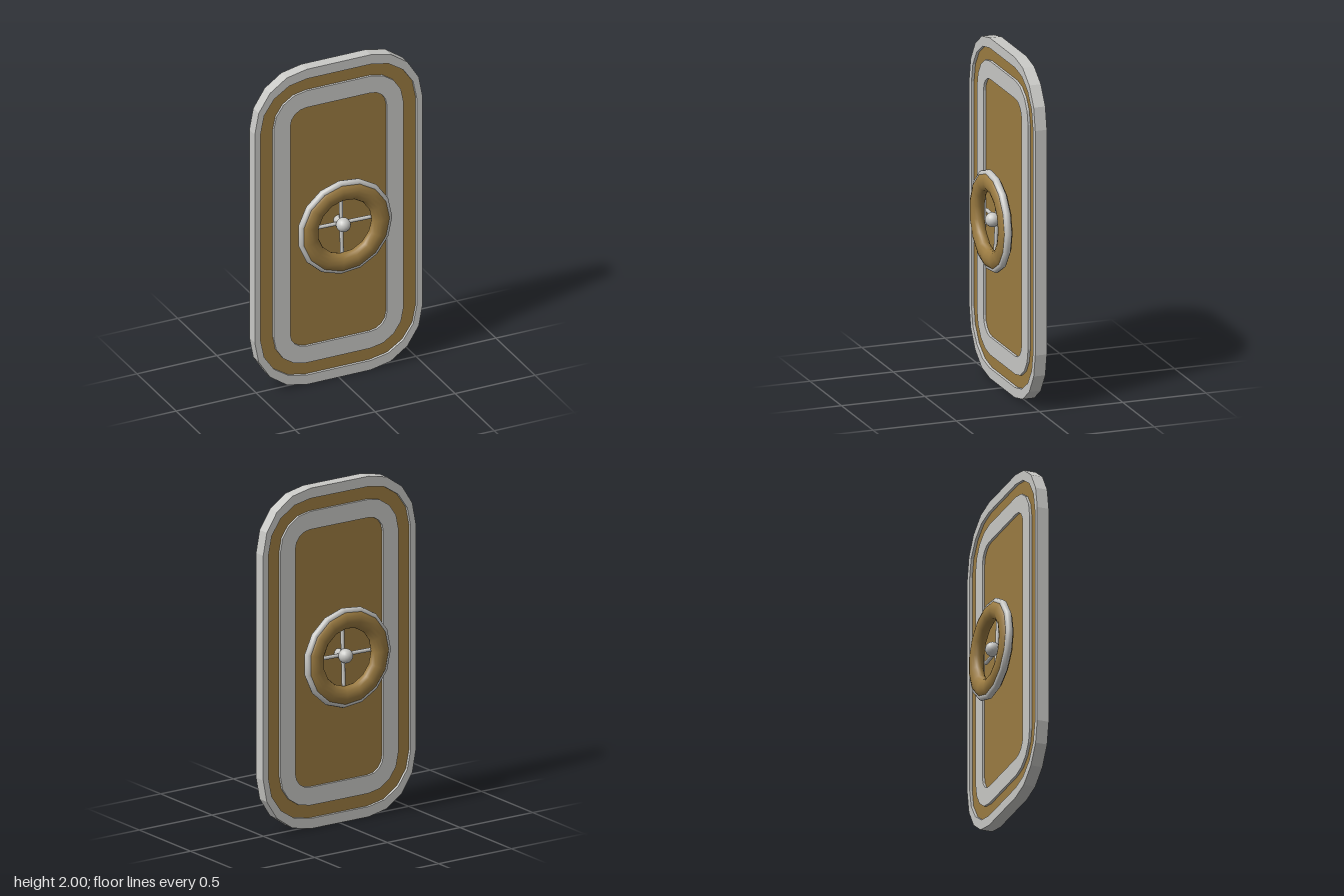
import * as THREE from 'three';

export function createModel() {
  const steel = new THREE.MeshStandardMaterial({ color: 0xc9c9c6 });
  steel.name = 'pale steel';
  const bronze = new THREE.MeshStandardMaterial({ color: 0x9c7c42 });
  bronze.name = 'bronze';

  const model = new THREE.Group();
  model.name = 'hatchDoor';

  function add(parent, name, geometry, material, x = 0, y = 0, z = 0) {
    const mesh = new THREE.Mesh(geometry, material);
    mesh.name = name;
    mesh.position.set(x, y, z);
    parent.add(mesh);
    return mesh;
  }

  // Rounded outline; every outline shares the same four corner centres
  function outline(halfW, halfH) {
    const cx = 0.2, cy = 0.66, steps = 4, points = [];
    for (let q = 0; q < 4; q++) {
      const sx = q === 0 || q === 3 ? 1 : -1;
      const sy = q < 2 ? 1 : -1;
      for (let i = 0; i <= steps; i++) {
        const a = (q + i / steps) * Math.PI / 2;
        points.push(new THREE.Vector2(
          sx * cx + (halfW - cx) * Math.cos(a),
          sy * cy + (halfH - cy) * Math.sin(a)));
      }
    }
    return points;
  }

  function slab(outer, inner, halfDepth) {
    const shape = new THREE.Shape(outline(...outer));
    if (inner) shape.holes.push(new THREE.Path(outline(...inner)));
    return new THREE.ExtrudeGeometry(shape, { depth: 2 * halfDepth, bevelEnabled: false })
      .translate(0, 1, -halfDepth);
  }

  // Door leaf: outer frame, recessed panel and raised inner border
  add(model, 'outerFrame', slab([0.525, 1.0], [0.488, 0.94], 0.035), steel);
  add(model, 'recessedPanel', slab([0.489, 0.941], null, 0.019), bronze);
  add(model, 'innerBorder', slab([0.405, 0.863], [0.302, 0.757], 0.033), steel);

  // Rod between two points
  function rod(parent, name, from, to, radius) {
    const dir = to.clone().sub(from);
    const mesh = add(parent, name, new THREE.CylinderGeometry(radius, radius, dir.length(), 12), steel);
    mesh.position.copy(from).add(to).multiplyScalar(0.5);
    mesh.quaternion.setFromUnitVectors(new THREE.Vector3(0, 1, 0), dir.normalize());
  }

  // Hand wheel, built on the front side
  function handWheel(name) {
    const wheel = new THREE.Group();
    wheel.name = name;
    const sides = 15;

    const grip = new THREE.TorusGeometry(0.226, 0.056, 14, sides).scale(1, 1, 0.7);
    add(wheel, 'wheelGrip', grip, bronze, 0.004, 0.99, 0.103);
    add(wheel, 'wheelBand', new THREE.TorusGeometry(0.273, 0.022, 10, sides), steel, 0.004, 0.99, 0.104);

    // Slightly tilted crossing spokes
    rod(wheel, 'crossSpoke', new THREE.Vector3(-0.187, 0.995, 0.058), new THREE.Vector3(0.2, 0.995, 0.074), 0.011);
    rod(wheel, 'uprightSpoke', new THREE.Vector3(0, 1.18, 0.06), new THREE.Vector3(0, 0.8, 0.076), 0.011);

    // Axle and round hub
    rod(wheel, 'axle', new THREE.Vector3(0, 0.995, 0.015), new THREE.Vector3(0, 0.995, 0.08), 0.026);
    add(wheel, 'hub', new THREE.SphereGeometry(0.042, 16, 12), steel, 0, 0.995, 0.094);
    return wheel;
  }

  const frontWheel = handWheel('frontHandWheel');
  const backWheel = handWheel('backHandWheel');
  backWheel.rotation.y = Math.PI;
  model.add(frontWheel, backWheel);
  return model;
}
